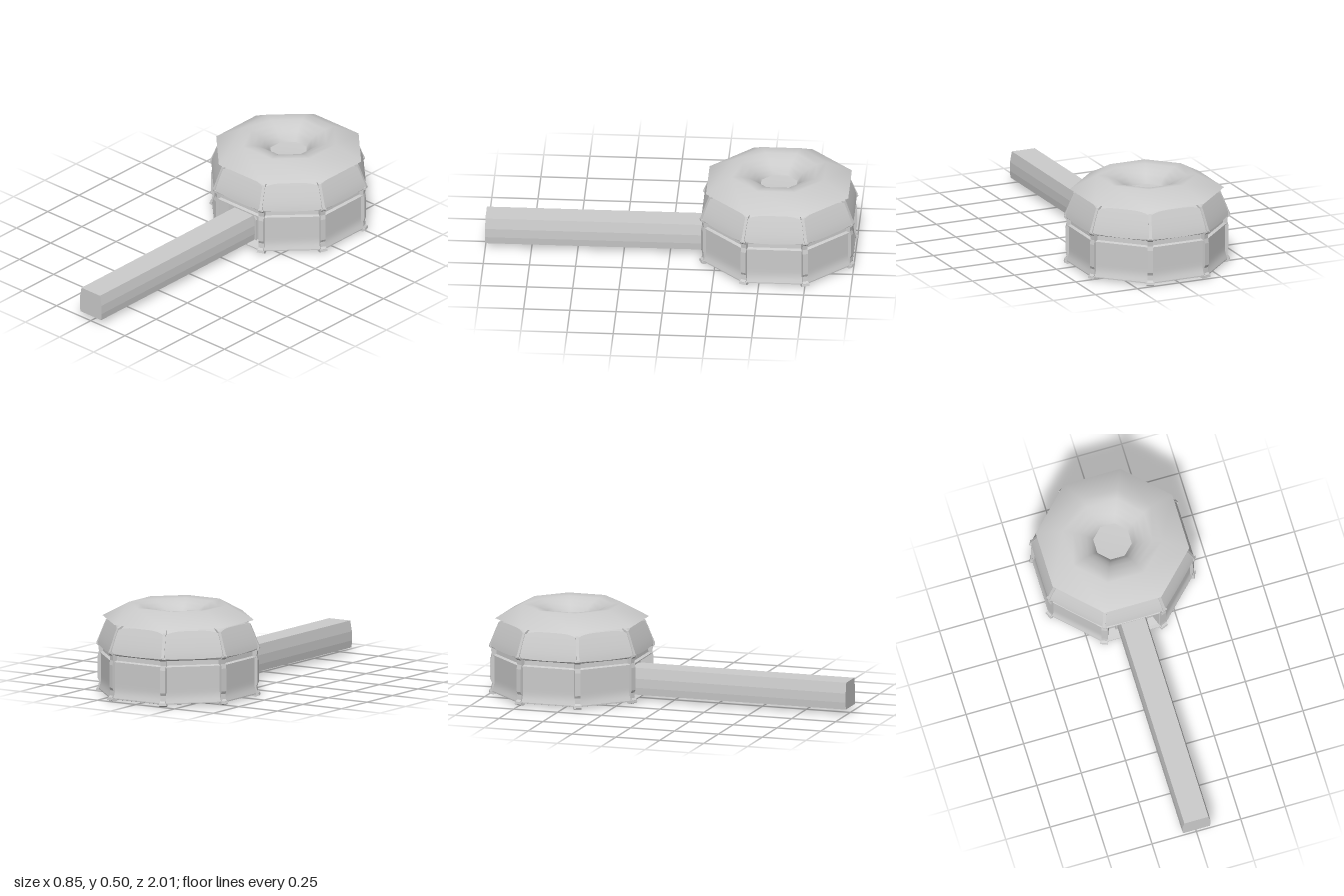
import * as THREE from 'three';
import { toCreasedNormals } from 'three/addons/utils/BufferGeometryUtils.js';

const grey = new THREE.MeshStandardMaterial({ color: 0xcccccc });
const greyThin = new THREE.MeshStandardMaterial({ color: 0xcccccc, side: THREE.DoubleSide });
const ochre = new THREE.MeshStandardMaterial({ color: 0xccaa66 });
const SIDES = 8;
const STEP = Math.PI * 2 / SIDES;
const TAN = Math.tan(STEP / 2);
const COS = Math.cos(STEP / 2);

const vecs = (pts) => pts.map(([x, y]) => new THREE.Vector2(x, y));

function add(parent, name, geometry, material = grey) {
  const mesh = new THREE.Mesh(geometry, material);
  mesh.name = name;
  parent.add(mesh);
  return mesh;
}

// Octagonal ring swept from a profile of [distance to flat side, height]
function octagon(profile) {
  const pts = profile.map(([a, y]) => new THREE.Vector2(a / COS, y));
  return toCreasedNormals(new THREE.LatheGeometry(pts, SIDES, STEP / 2), 0.7);
}

// One side of the octagon; rule(u, v) gives [distance, height], u across -1..1, v up 0..1
function sidePanel(nu, nv, rule) {
  const geo = new THREE.PlaneGeometry(2, 1, nu, nv);
  const p = geo.attributes.position;
  for (let i = 0; i < p.count; i++) {
    const u = p.getX(i);
    const [a, y] = rule(u, p.getY(i) + 0.5);
    p.setXYZ(i, u * a * TAN, y, a);
  }
  geo.computeVertexNormals();
  return geo;
}

// Outline extruded along z, centred
function slab(points, depth, hole) {
  const shape = new THREE.Shape(vecs(points));
  if (hole) shape.holes.push(new THREE.Path(vecs(hole)));
  return new THREE.ExtrudeGeometry(shape, { depth, bevelEnabled: false }).translate(0, 0, -depth / 2);
}

const mirrored = (half) => [...half, ...half.slice().reverse().map(([x, y]) => [-x, y])];

export function createModel() {
  const model = new THREE.Group();
  model.name = 'pavilionWithWalkway';
  const hall = new THREE.Group();
  hall.name = 'octagonalHall';
  hall.position.z = -0.585;
  model.add(hall);

  // Floor, eave band and dome cap
  add(hall, 'floorBase', octagon([[0, 0.011], [0.395, 0.011], [0.407, 0.014], [0.407, 0.02], [0.39, 0.024]]));
  add(hall, 'eaveBand', octagon([[0.385, 0.212], [0.402, 0.212], [0.402, 0.217], [0.386, 0.223],
    [0.384, 0.248], [0.408, 0.258], [0.41, 0.265], [0.39, 0.27]]));
  add(hall, 'domeCap', octagon([[0.368, 0.36], [0.357, 0.388], [0.34, 0.403], [0.3, 0.419],
    [0.24, 0.419], [0.12, 0.405], [0, 0.405]]));

  // Walls curve out at the foot; dome panels have arched tops and sagging lower edges
  const wall = sidePanel(1, 10, (u, v) => [
    0.395 + 0.012 * Math.pow(Math.max(0, 1 - v / 0.28), 2), 0.02 + 0.193 * v]);
  const domePanel = sidePanel(12, 8, (u, v) => {
    const low = 0.258 + 0.008 * u * u;
    const high = 0.405 - 0.02 * u * u * u * u;
    const y = low + (high - low) * v;
    return [0.412 - 0.05 * Math.pow((y - 0.258) / 0.147, 1.25), y];
  });

  // Corner posts with splayed feet, and the ribs above them
  const post = slab([[0.4, 0.012], [0.425, 0], [0.448, 0.008], [0.446, 0.022], [0.436, 0.032],
    [0.433, 0.06], [0.44, 0.075], [0.44, 0.2], [0.434, 0.225], [0.436, 0.25], [0.449, 0.262],
    [0.447, 0.27], [0.4, 0.27]], 0.03);
  const foot = slab([[0.41, 0.005], [0.43, 0], [0.449, 0.008], [0.446, 0.02], [0.41, 0.024]], 0.042);
  const rib = slab([[0.42, 0.262], [0.449, 0.262], [0.449, 0.27], [0.432, 0.31], [0.412, 0.36],
    [0.396, 0.397], [0.375, 0.407], [0.33, 0.42], [0.32, 0.41], [0.37, 0.37]], 0.016);
  for (let i = 0; i < SIDES; i++) {
    if (i > 0) add(hall, 'wallPanel', wall).rotation.y = i * STEP;
    add(hall, 'domePanel', domePanel, greyThin).rotation.y = i * STEP;
    const angle = (i + 0.5) * STEP;
    add(hall, 'cornerPost', post).rotation.y = angle;
    add(hall, 'postFoot', foot).rotation.y = angle;
    add(hall, 'domeRib', rib).rotation.y = angle;
  }

  // Roof: sloping octagonal rim that turns down into a central funnel
  add(hall, 'funnelRoof', octagon([[0.385, 0.417], [0.25, 0.495], [0.2, 0.488], [0.16, 0.472],
    [0.13, 0.452], [0.11, 0.43], [0.097, 0.408]]), greyThin);

  // Front entrance: surround, splayed recess, back wall and arched frame
  const rect = (w, y0, y1) => mirrored([[w, y0], [w, y1]]);
  add(hall, 'entranceSurround', slab(rect(0.162, 0.016, 0.218), 0.015, rect(0.144, 0.022, 0.211)))
    .position.z = 0.39;
  const recess = new THREE.CylinderGeometry(0.145 * Math.SQRT2, 0.122 * Math.SQRT2, 0.055, 4, 1, true)
    .rotateY(Math.PI / 4).rotateX(Math.PI / 2).scale(1, 0.66, 1).toNonIndexed();
  recess.computeVertexNormals();
  add(hall, 'entranceRecess', recess, greyThin).position.set(0, 0.117, 0.37);
  add(hall, 'entranceBackWall', new THREE.BoxGeometry(0.25, 0.17, 0.01)).position.set(0, 0.117, 0.342);
  add(hall, 'doorFrame', slab(
    mirrored([[0.09, 0.033], [0.087, 0.155], [0.072, 0.18], [0.062, 0.182], [0.056, 0.19]]), 0.018))
    .position.z = 0.35;

  // Coloured patches set under the floor
  for (const [x, z, w, d] of [[0.32, 0, 0.1, 0.07], [-0.345, 0.02, 0.07, 0.13], [0, -0.3, 0.08, 0.08]]) {
    add(hall, 'floorPatch', new THREE.BoxGeometry(w, 0.003, d), ochre).position.set(x, 0.0105, z);
  }

  // Long walkway leading out from the entrance
  add(model, 'walkway', slab(
    mirrored([[0.076, 0.031], [0.08, 0.07], [0.079, 0.12], [0.068, 0.178]]), 1.24)).position.z = 0.38;
  return model;
}
